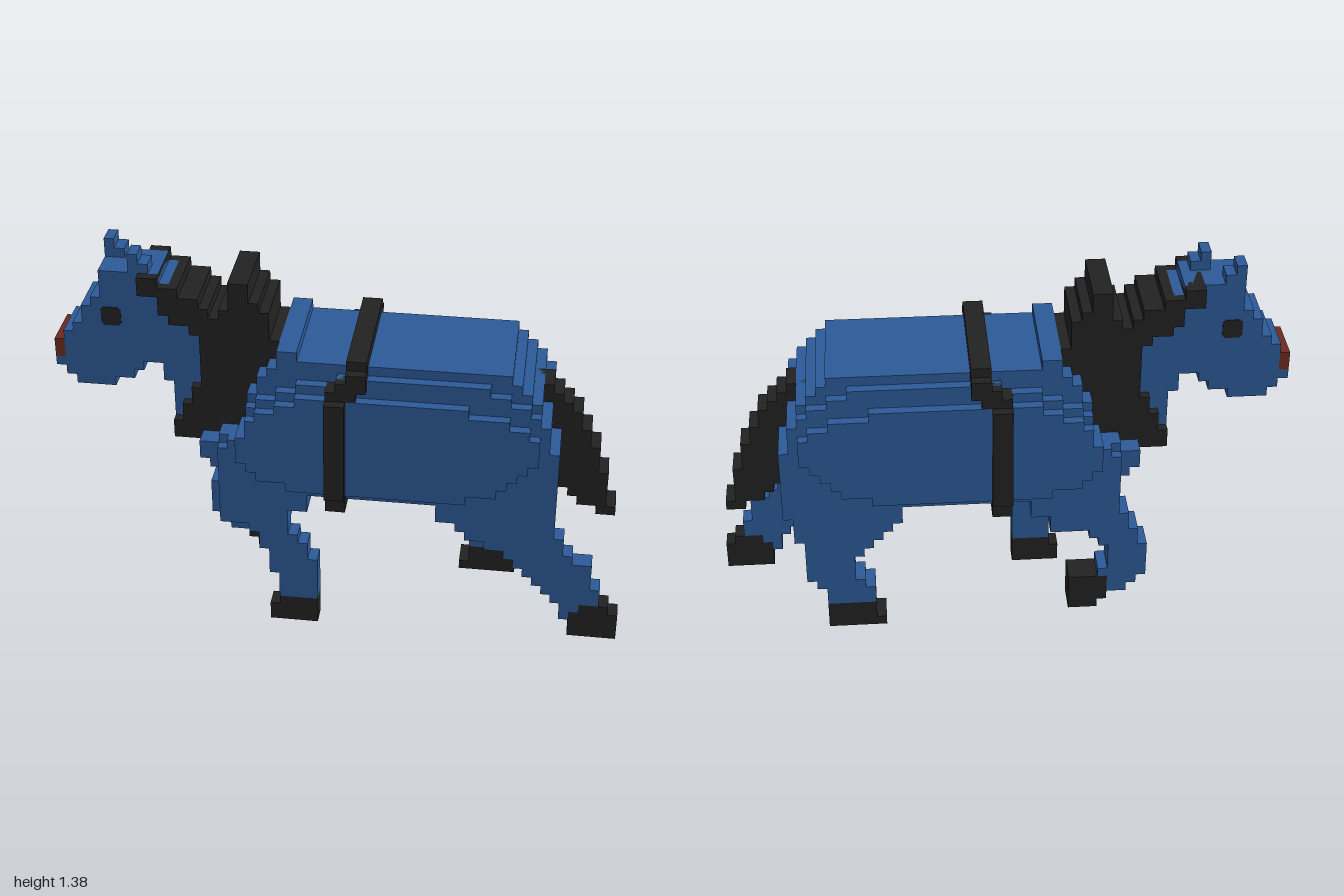
import * as THREE from 'three';
import { mergeGeometries } from 'three/addons/utils/BufferGeometryUtils.js';

const U = 2 / 58; // size of one block

export function createModel() {
  const model = new THREE.Group();
  model.name = 'blockHorse';
  const mat = (name, color) => {
    const m = new THREE.MeshStandardMaterial({ color });
    m.name = name;
    return m;
  };
  const blue = mat('blueCoat', 0x2d5a97);
  const black = mat('blackHair', 0x222222);
  const red = mat('redNose', 0x6b2b20);

  // Stacks rows of blocks upward from row y; each row lists x start/end pairs.
  function slab(name, material, z0, z1, y, rows) {
    const boxes = [];
    rows.forEach((row, i) => {
      for (let j = 0; j < row.length; j += 2) {
        const g = new THREE.BoxGeometry((row[j + 1] - row[j]) * U, U, (z1 - z0) * U);
        g.translate((row[j] + row[j + 1]) / 2 * U, (y + i + 0.5) * U, (z0 + z1) / 2 * U);
        boxes.push(g);
      }
    });
    const mesh = new THREE.Mesh(mergeGeometries(boxes), material);
    mesh.name = name;
    model.add(mesh);
  }
  const same = (n, a, b) => Array.from({ length: n }, () => [a, b]);

  // Barrel in three widths: narrow spine, middle, and bulging flanks
  slab('bodyCore', blue, -5.5, 5.5, 16, [
    [-12, 20], [-12, 21], [-13, 22], [-14, 22], [-14, 22], [-12, 22], [-10, 22], [-9, 21],
    [-9, 21], [-9, 21], [-9, 20], [-8, 20], [-8, 19], [-7, 18], [-6, 17], [-6, -4]]);
  slab('bodyMiddle', blue, -6.5, 6.5, 16, [
    [-12, 22], [-12, 22], [-12, 22], [-12, 22], [-12, 22], [-11, 22], [-10, 22], [-9, 21],
    [-9, 21], [-9, 21], [-8, 20], [-6, 19], [-4, 17], [0, 15]]);
  slab('flanks', blue, -7.5, 7.5, 17, [
    [-5, 13], [-8, 16], [-9, 17], [-10, 18], [-10, 19], [-10, 20],
    [-9, 20], [-9, 20], [-8, 19], [-6, 17], [-4, 13]]);
  slab('chest', blue, -6.5, 6.5, 12, [[-12, -5], [-12, -5], [-12, -3], [-12, -3]]);

  // Head and neck
  slab('headAndNeck', blue, -2.5, 2.5, 20, [
    [-14, -10], [-16, -10], [-17, -10], [-17, -10], [-17, -10],
    [-27, -23, -17, -10], [-28, -21, -18, -10], [-29, -20, -18, -10],
    [-28, -10], [-28, -10], [-28, -12], [-27, -12], [-26, -13],
    [-26, -14], [-25, -15], [-24, -16], [-24, -17], [-24, -18]]);
  slab('nose', red, -2.5, 2.5, 28, same(2, -29, -28));
  slab('rightEar', blue, -2.5, -0.5, 38, [[-24, -22], [-24, -23]]);
  slab('leftEar', blue, 0.5, 2.5, 38, [[-21, -19], [-21, -20]]);

  // Eyes: thin plates with clipped corners
  const c = 0.7;
  const eyeShape = new THREE.Shape([
    [-1, -c], [-c, -1], [c, -1], [1, -c], [1, c], [c, 1], [-c, 1], [-1, c],
  ].map(([x, y]) => new THREE.Vector2(x * U, y * U)));
  for (const side of [1, -1]) {
    const eye = new THREE.Mesh(
      new THREE.ExtrudeGeometry(eyeShape, { depth: 0.006, bevelEnabled: false }), black);
    eye.name = side > 0 ? 'leftEye' : 'rightEye';
    eye.position.set(-23 * U, 33 * U, side * 2.5 * U - 0.003);
    model.add(eye);
  }

  // Mane and collar, with the raised tuft
  slab('mane', black, -3.5, 3.5, 20, [
    [-17, -14], [-17, -12], [-16, -10], [-16, -9], [-15, -9], [-15, -9],
    [-14, -9], [-14, -8], [-14, -8], [-14, -7], [-14, -6], [-14, -6],
    [-15, -7], [-17, -7], [-18, -13, -12, -7], [-18, -14, -11, -8],
    [-20, -16, -11, -9], [-20, -18, -11, -9]]);

  // Tail
  slab('tail', black, -1.5, 1.5, 13, [
    [26, 28], [24, 27], [23, 27], [22, 27], [22, 27], [22, 26], [22, 26], [22, 26],
    [21, 25], [21, 25], [21, 24], [20, 24], [20, 23], [19, 22], [19, 21]]);

  // Girth strap wrapped round the barrel
  slab('girthSides', black, -8.5, 8.5, 17, same(11, -1, 1));
  slab('girthBelly', black, -7.5, 7.5, 15, same(2, -1, 1));
  slab('girthShoulder', black, -7.5, 7.5, 28, [[-1, 2], [0, 3], [1, 3]]);
  slab('girthTop', black, -6.5, 6.5, 31, [[1, 3]]);

  // Left front leg, standing
  slab('leftFrontLeg', blue, 4.5, 6.5, 3, [
    [-6, -2], [-6, -2], [-6, -2], [-7, -2], [-7, -2], [-7, -3],
    [-8, -3], [-8, -4], [-9, -5], [-12, -5]]);
  slab('leftFrontHoof', black, 4.5, 6.5, 0, [[-7, -2], [-7, -2], [-6, -2]]);

  // Right front leg, lifted and folded back
  slab('rightFrontLeg', blue, -6.5, -3.5, 4, [
    [-13, -11], [-14, -11], [-15, -10], [-15, -11], [-15, -11], [-15, -11],
    [-14, -10], [-14, -9], [-13, -8], [-13, -6]]);
  slab('rightFrontHoof', black, -6.5, -3.5, 2, [[-10, -7], ...same(3, -11, -7)]);

  // Left hind leg, stretched back
  slab('leftHindLeg', blue, 4.5, 6.5, 3, [
    [23, 24], [23, 25], [22, 27], [21, 27], [20, 26], [19, 26], [18, 26],
    [17, 24], [15, 23], [13, 23], [12, 22], [10, 22], [10, 22]]);
  slab('leftHindHoof', black, 4.5, 6.5, 1, [...same(3, 24, 29), [25, 28]]);

  // Right hind leg, under the body
  slab('rightHindLeg', blue, -6.5, -3.5, 4, [
    [13, 18], [13, 18], [14, 19], [15, 20], [15, 20], [15, 20], [14, 20],
    [13, 20], [12, 21], [11, 21], [10, 21], [10, 22]]);
  slab('rightHindHoof', black, -6.5, -3.5, 1, [[12, 18], [13, 18], [13, 18]]);

  return model;
}
